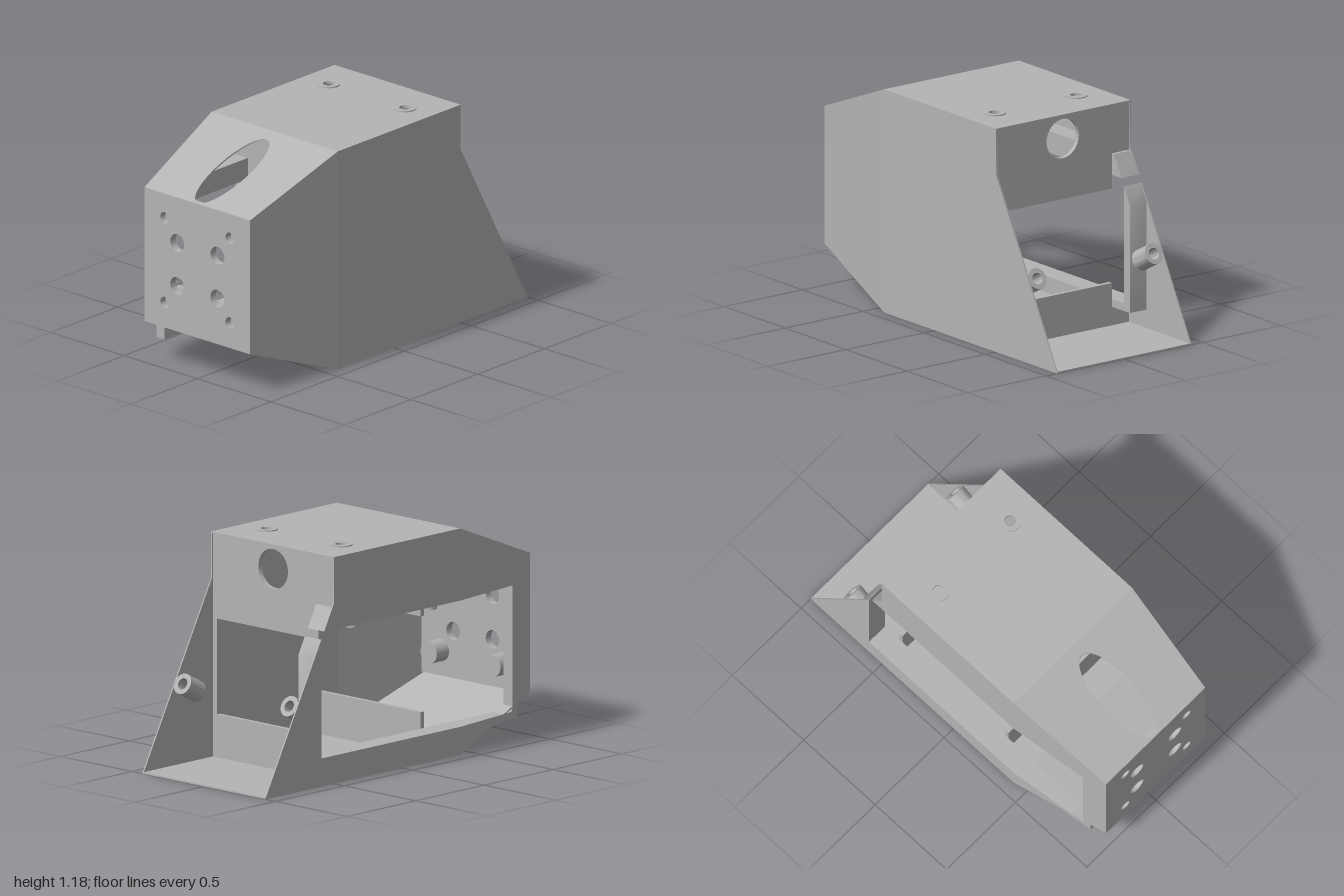
import * as THREE from 'three';
import { toCreasedNormals } from 'three/addons/utils/BufferGeometryUtils.js';

const grey = new THREE.MeshStandardMaterial({ color: 0xb4b4b4 });
grey.name = 'plain grey';

const T = 0.008; // shell thickness
const SIDE = 0.43;
const TAPER_X = -0.42;
const taper = x => Math.max(0, (TAPER_X - x) / 0.58); // 0 on the body, 1 at the nose
const halfWidth = x => SIDE - 0.07 * taper(x);
const floorY = x => 0.22 * taper(x);
const roofY = x => 1.17 - 0.23 * taper(x);

const ellipse = (cx, cy, rx, ry = rx, n = 40) => Array.from({ length: n }, (_, i) => {
  const a = (i / n) * Math.PI * 2;
  return [cx + Math.cos(a) * rx, cy + Math.sin(a) * ry];
});

// Solid between two mapped copies of a flat outline that may have holes
function prism(outline, f, g, holes = []) {
  const loops = [outline, ...holes].map((loop, i) => {
    const v = loop.map(p => new THREE.Vector2(p[0], p[1]));
    return THREE.ShapeUtils.isClockWise(v) === (i > 0) ? v : v.reverse();
  });
  const flat = loops.flat();
  const a = flat.map(p => new THREE.Vector3(...f(p.x, p.y)));
  const b = flat.map(p => new THREE.Vector3(...g(p.x, p.y)));
  const tris = [];
  for (const [i, j, k] of THREE.ShapeUtils.triangulateShape(loops[0], loops.slice(1))) {
    const ccw = THREE.ShapeUtils.area([flat[i], flat[j], flat[k]]) > 0;
    const [m, n] = ccw ? [j, k] : [k, j];
    tris.push([b[i], b[m], b[n]], [a[i], a[n], a[m]]);
  }
  let start = 0;
  for (const loop of loops) {
    for (let i = 0; i < loop.length; i++) {
      const p = start + i, q = start + (i + 1) % loop.length;
      tris.push([a[p], a[q], b[q]], [a[p], b[q], b[p]]);
    }
    start += loop.length;
  }
  // turn the solid right side out
  const volume = tris.reduce((s, [p, q, r]) => s + p.dot(q.clone().cross(r)), 0);
  if (volume < 0) tris.forEach(t => t.reverse());
  const geo = new THREE.BufferGeometry().setFromPoints(tris.flat());
  geo.computeVertexNormals();
  return toCreasedNormals(geo, 0.5);
}

export function createModel() {
  const model = new THREE.Group();
  model.name = 'openEnclosure';
  const add = (name, geo) => {
    const mesh = new THREE.Mesh(geo, grey);
    mesh.name = name;
    model.add(mesh);
    return mesh;
  };

  // Side walls: solid at the front, with a large window at the back
  const sideWall = (name, s, pts) => add(name, prism(pts,
    (x, y) => [x, y, s * halfWidth(x)],
    (x, y) => [x, y, s * (halfWidth(x) - T)]));
  sideWall('frontWall', 1, [[TAPER_X, 0], [1, 0], [0.5, 0.93], [0.5, 1.17], [TAPER_X, 1.17]]);
  sideWall('frontTaperWall', 1, [[TAPER_X, 0], [TAPER_X, 1.17], [-1, 0.94], [-1, 0.22]]);
  sideWall('backWallLower', -1, [[TAPER_X, 0], [1, 0], [0.592, 0.759], [0.592, 0.145], [TAPER_X, 0.145]]);
  sideWall('backWallUpper', -1, [[TAPER_X, 0.797], [0.571, 0.797], [0.5, 0.93], [0.5, 1.17], [TAPER_X, 1.17]]);
  sideWall('backTaperLower', -1, [[TAPER_X, 0], [TAPER_X, 0.145], [-0.802, 0.145]]);
  sideWall('backTaperUpper', -1, [[TAPER_X, 0.797], [-0.855, 0.797], [-0.855, 0.165],
    [-1, 0.22], [-1, 0.94], [TAPER_X, 1.17]]);

  // Floor and roof, flat over the body and sloping to the nose
  const body = end => [[TAPER_X, -SIDE], [end, -SIDE], [end, SIDE], [TAPER_X, SIDE]];
  const nose = [[-1, -0.36], [TAPER_X, -SIDE], [TAPER_X, SIDE], [-1, 0.36]];
  const slab = (name, pts, height, dir, holes) => add(name, prism(pts,
    (x, z) => [x, height(x), z], (x, z) => [x, height(x) + dir * T, z], holes));
  slab('floor', body(1), floorY, 1);
  slab('noseFloor', nose, floorY, 1);
  slab('roof', body(0.5), roofY, -1, [-0.26, 0.26].map(z => ellipse(0.27, z, 0.03)));
  slab('noseRoof', nose, roofY, -1, [ellipse(-0.738, 0, 0.255, 0.103, 56)]);

  // Nose plate with four large holes and four screw holes
  const plateHoles = [];
  for (const s of [-1, 1]) {
    for (const y of [0.465, 0.695]) plateHoles.push(ellipse(s * 0.137, y, 0.047));
    for (const y of [0.355, 0.81]) {
      plateHoles.push(ellipse(s * 0.222, y, 0.03));
      const boss = add('noseBoss', new THREE.CylinderGeometry(0.057, 0.057, 0.09, 32));
      boss.rotation.z = Math.PI / 2;
      boss.position.set(-0.915, y, s * 0.222);
    }
  }
  add('nosePlate', prism([[-0.358, 0.222], [0.358, 0.222], [0.358, 0.938], [-0.358, 0.938]],
    (z, y) => [-1, y, z], (z, y) => [-0.96, y, z], plateHoles));

  // Two cross bulkheads with a round port above and an open bay below
  const bulkhead = [[0.425, 0.004], [-0.425, 0.004], [-0.425, 0.105], [-0.315, 0.105],
    [-0.315, 0.23], [0.392, 0.23], [0.392, 0.725], [-0.315, 0.725],
    [-0.315, 0.91], [-0.425, 0.91], [-0.425, 1.166], [0.425, 1.166]];
  for (const x of [0.47, -0.275]) {
    add('bulkhead', prism(bulkhead, (z, y) => [x, y, z], (z, y) => [x + 0.024, y, z],
      [ellipse(0, 1.042, 0.103)]));
  }

  // Deep frame around the back window
  const inner = -0.315;
  const outer = x => -(halfWidth(x) - 0.002);
  const rail = end => [[-0.9, inner], [-0.9, outer(-0.9)], [TAPER_X, outer(0)], [end, outer(0)], [end, inner]];
  add('windowSill', prism(rail(0.64), (x, z) => [x, 0.105, z], (x, z) => [x, 0.145, z]));
  add('windowHeader', prism(rail(0.571), (x, z) => [x, 0.797, z],
    (x, z) => [x > 0.5 ? 0.511 : x, 0.91, z]));
  const post = (name, pts) => add(name, prism(pts, (x, y) => [x, y, inner], (x, y) => [x, y, outer(x)]));
  post('windowNosePost', [[-0.9, 0.105], [-0.855, 0.105], [-0.855, 0.91], [-0.9, 0.91]]);
  post('windowRearPost', [[0.592, 0.105], [0.64, 0.105], [0.64, 0.669], [0.592, 0.759]]);

  // Locating pegs under the window header
  for (const x of [-0.285, 0.285]) {
    add('headerPeg', new THREE.CylinderGeometry(0.034, 0.034, 0.034, 28)).position.set(x, 0.782, -0.349);
  }

  // Tubular screw bosses square to the sloping opening, and roof rings
  const tube = [[0, 0], [0.055, 0], [0.055, 0.12], [0.03, 0.12], [0.03, 0.015], [0, 0.015]];
  const ring = [[0.03, 0], [0.057, 0], [0.057, 0.006], [0.03, 0.006], [0.03, 0]];
  const lathe = pts => toCreasedNormals(
    new THREE.LatheGeometry(pts.map(p => new THREE.Vector2(...p)), 36), 0.5);
  for (const s of [-1, 1]) {
    const boss = add('slopeBoss', lathe(tube));
    boss.rotation.z = -Math.atan2(0.93, 0.5);
    boss.position.set(0.66, 0.378, s * 0.372);
    add('roofRing', lathe(ring)).position.set(0.27, 1.17, s * 0.26);
  }
  return model;
}
